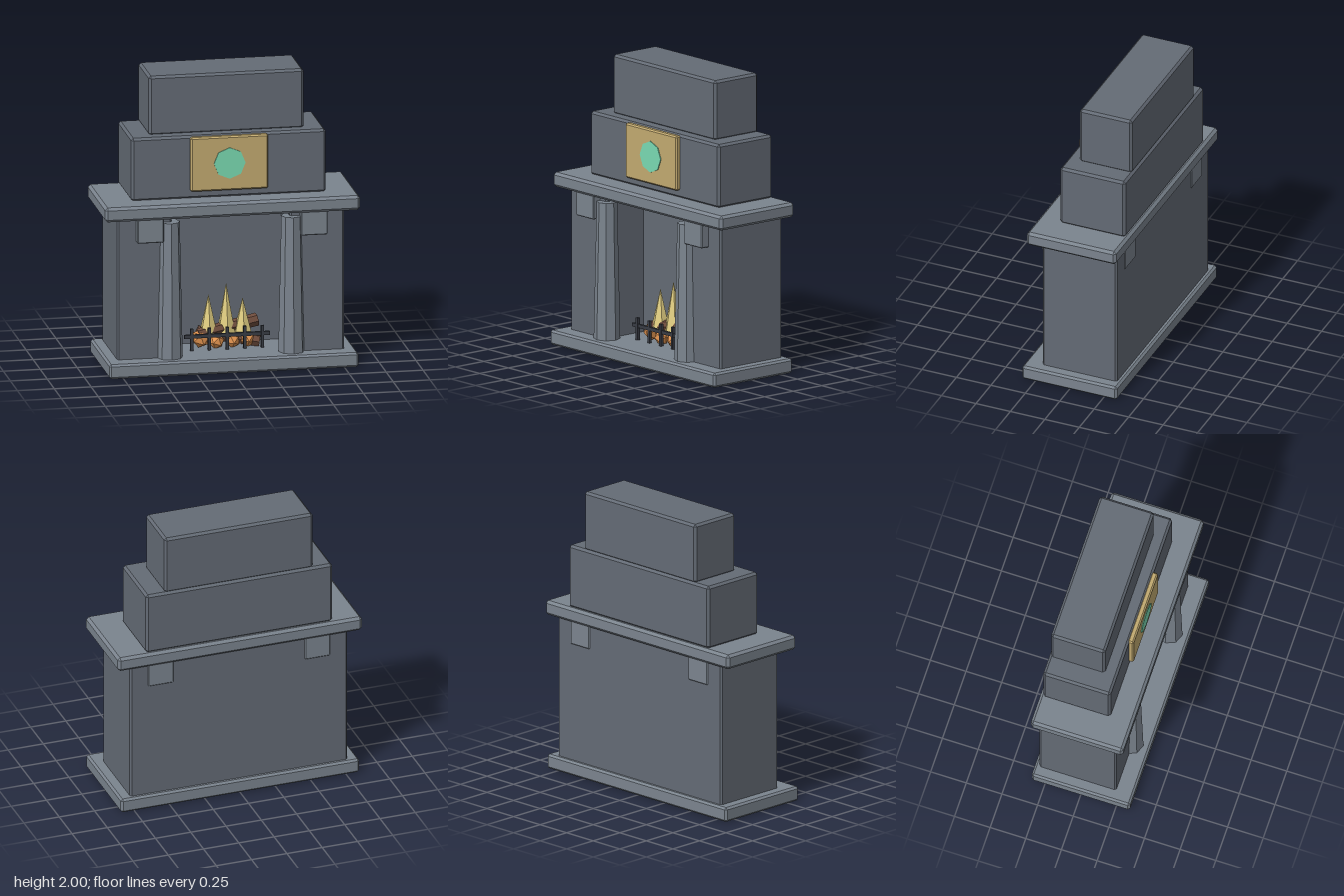
import * as THREE from 'three';
import { ConvexGeometry } from 'three/addons/geometries/ConvexGeometry.js';

const mat = (color) => new THREE.MeshStandardMaterial({ color, flatShading: true });

// Box from min/max corners with every edge chamfered by c
function chamferBox([x0, y0, z0], [x1, y1, z1], c) {
  const h = [(x1 - x0) / 2, (y1 - y0) / 2, (z1 - z0) / 2];
  const points = [];
  for (const sx of [-1, 1]) for (const sy of [-1, 1]) for (const sz of [-1, 1]) {
    for (let axis = 0; axis < 3; axis++) {
      const p = h.map((v, i) => (i === axis ? v : v - c));
      points.push(new THREE.Vector3(sx * p[0], sy * p[1], sz * p[2]));
    }
  }
  return new ConvexGeometry(points).translate((x0 + x1) / 2, (y0 + y1) / 2, (z0 + z1) / 2);
}

export function createModel() {
  const model = new THREE.Group();
  model.name = 'fireplace';
  const stone = mat(0x646b75), trim = mat(0x7b848e), gold = mat(0xc2aa70), jade = mat(0x7adab2);
  const iron = mat(0x383c44), wood = mat(0x6e4c3c), ember = mat(0xe29450), flame = mat(0xe2cf82);

  const add = (name, geometry, material, parent = model) => {
    const mesh = new THREE.Mesh(geometry, material);
    mesh.name = name;
    parent.add(mesh);
    return mesh;
  };

  // Slabs and stepped chimney breast
  add('hearthBase', chamferBox([-0.845, 0, -0.345], [0.845, 0.1, 0.345], 0.014), trim);
  add('mantel', chamferBox([-0.865, 1.07, -0.345], [0.865, 1.17, 0.303], 0.018), trim);
  add('lowerChimney', chamferBox([-0.66, 1.165, -0.325], [0.66, 1.6, 0.148], 0.016), stone);
  add('upperChimney', chamferBox([-0.525, 1.59, -0.315], [0.525, 2, 0.065], 0.016), stone);

  // Firebox walls: U-shaped plan, open to the front
  const half = [[0.4, 0.1], [0.4, -0.213], [0.412, -0.225], [0.758, -0.225], [0.77, -0.213],
    [0.77, 0.303], [0.758, 0.315]];
  const outline = [...half, ...half.map(([x, y]) => [-x, y]).reverse()];
  const plan = new THREE.Shape(outline.map(([x, y]) => new THREE.Vector2(x, y)));
  const walls = new THREE.ExtrudeGeometry(plan, { depth: 0.98, bevelEnabled: false });
  add('fireboxWalls', walls.rotateX(-Math.PI / 2).translate(0, 0.095, 0), stone);

  // Tapered columns and through corbels on both sides
  for (const s of [-1, 1]) {
    const side = s > 0 ? 'left' : 'right';
    const column = add(side + 'Column', new THREE.CylinderGeometry(0.069, 0.089, 0.94, 8), trim);
    column.position.set(s * 0.413, 0.565, 0.21);
    const xs = [s * 0.465, s * 0.645].sort((a, b) => a - b);
    add(side + 'Corbel', chamferBox([xs[0], 0.91, -0.322], [xs[1], 1.08, 0.284], 0.006), trim);
  }

  // Plaque with a faceted disc
  add('plaque', chamferBox([-0.263, 1.22, 0.135], [0.263, 1.593, 0.179], 0.01), gold);
  const disc = add('plaqueDisc', new THREE.CylinderGeometry(0.107, 0.107, 0.02, 8), jade);
  disc.rotation.x = Math.PI / 2;
  disc.position.set(0, 1.408, 0.175);

  // Fire: embers, crossed logs and flames
  const fire = new THREE.Group();
  fire.name = 'fire';
  model.add(fire);
  [[-0.165, 0.165, 0.02, 0.066], [-0.06, 0.14, 0.03, 0.052], [0.05, 0.14, 0.02, 0.052],
    [0.15, 0.145, 0.02, 0.055]].forEach(([x, y, z, r], i) => {
    const coal = add('ember', new THREE.IcosahedronGeometry(r, 0), ember, fire);
    coal.position.set(x, y, z);
    coal.rotation.set(i, i * 0.7, 0.3);
  });
  [[0.02, 0.225, -0.01, 0.16, 0.15], [0.03, 0.16, -0.02, -0.14, -0.2]].forEach(([x, y, z, tilt, turn]) => {
    const log = new THREE.CylinderGeometry(0.04, 0.046, 0.42, 7).rotateZ(Math.PI / 2);
    const mesh = add('log', log, wood, fire);
    mesh.position.set(x, y, z);
    mesh.rotation.set(0, turn, tilt);
  });
  [[-0.11, 0.46, 0], [0.012, 0.53, -0.01], [0.12, 0.43, 0.01]].forEach(([x, top, z]) => {
    const height = top - 0.18;
    const cone = add('flame', new THREE.ConeGeometry(0.066, height, 6), flame, fire);
    cone.position.set(x, top - height / 2, z);
  });

  // Iron grate in front of the fire
  const grate = new THREE.Group();
  grate.name = 'grate';
  model.add(grate);
  add('grateRail', new THREE.BoxGeometry(0.58, 0.024, 0.02), iron, grate).position.set(0, 0.197, 0.085);
  for (let i = -2; i <= 2; i++) {
    add('grateBar', new THREE.BoxGeometry(0.02, 0.16, 0.02), iron, grate).position.set(i * 0.12, 0.172, 0.088);
  }
  return model;
}
